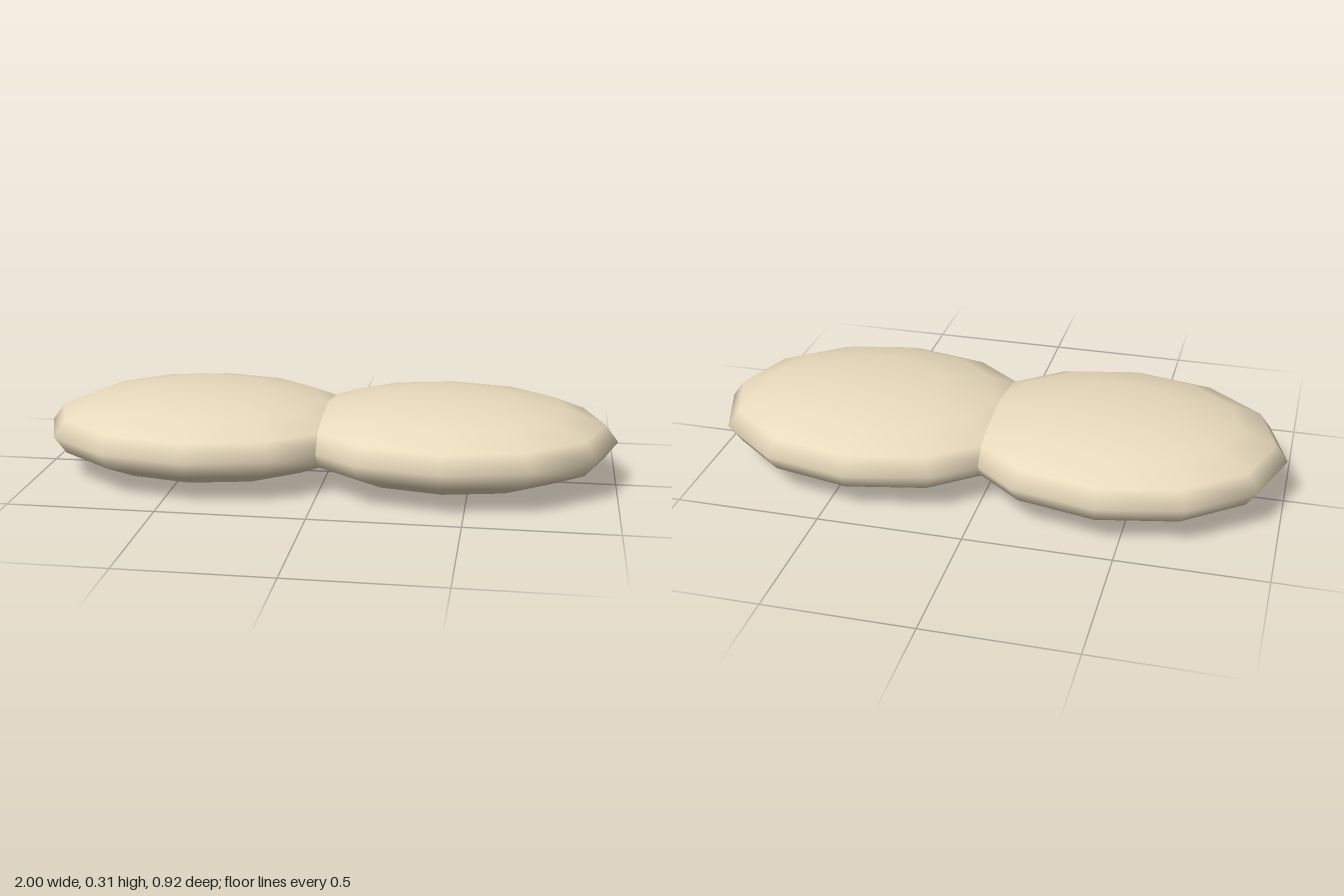
import * as THREE from 'three';

export function createModel() {
  const group = new THREE.Group();
  group.name = 'twinLobes';

  const material = new THREE.MeshStandardMaterial({ color: 0xe8dabc });
  // Coarse sphere: 12 sides around, 8 rings from pole to pole
  const geometry = new THREE.SphereGeometry(1, 12, 8);

  // Two flattened lobes that overlap in the middle
  for (const [name, side] of [['leftLobe', 1], ['rightLobe', -1]]) {
    const lobe = new THREE.Mesh(geometry, material);
    lobe.name = name;
    lobe.scale.set(0.577, 0.153, 0.46);
    lobe.position.set(side * 0.423, 0.154, 0);
    group.add(lobe);
  }
  return group;
}
